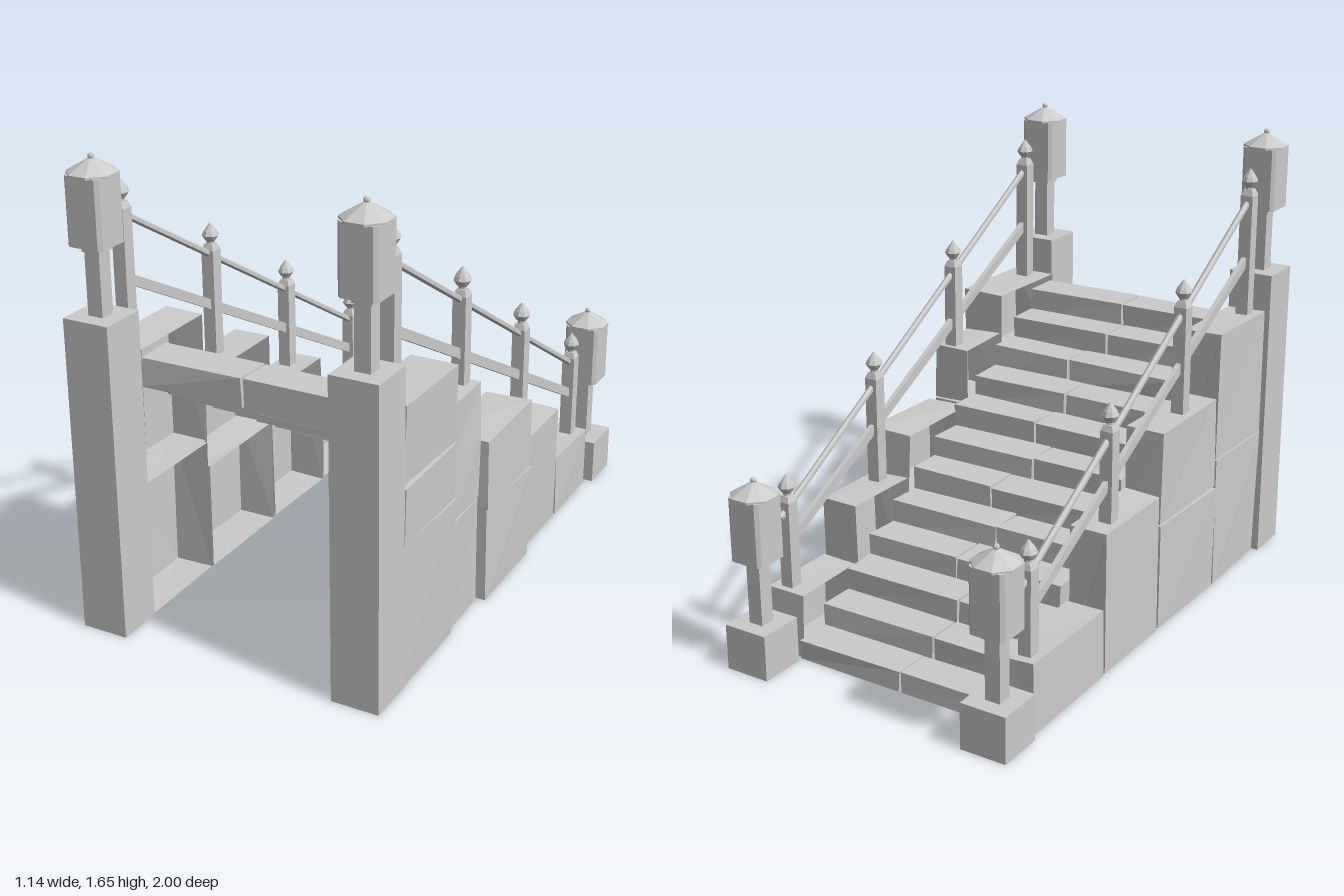
import * as THREE from 'three';

const stone = new THREE.MeshStandardMaterial({ color: 0xcccccc, flatShading: true, side: THREE.DoubleSide });

// Small seeded generator for the uneven stone corners
let seed = 7;
const rand = () => {
  seed = (seed * 16807) % 2147483647;
  return seed / 2147483647 - 0.5;
};

function add(parent, name, geometry, x = 0, y = 0, z = 0) {
  const mesh = new THREE.Mesh(geometry, stone);
  mesh.name = name;
  mesh.position.set(x, y, z);
  parent.add(mesh);
  return mesh;
}

// Box between limits; open = face index to leave out (+x, -x, +y, -y, +z, -z), wobble moves the corners
function block(parent, name, [x0, x1], [y0, y1], [z0, z1], { open = -1, wobble = 0 } = {}) {
  const g = new THREE.BoxGeometry(x1 - x0, y1 - y0, z1 - z0);
  g.translate((x0 + x1) / 2, (y0 + y1) / 2, (z0 + z1) / 2);
  if (open >= 0) g.setIndex(Array.from(g.index.array).filter((_, i) => Math.floor(i / 6) !== open));
  if (wobble) {
    const shift = Array.from({ length: 8 }, () => [rand() * wobble, rand() * wobble, rand() * wobble]);
    const p = g.attributes.position;
    for (let i = 0; i < p.count; i++) {
      const x = p.getX(i), y = p.getY(i), z = p.getZ(i);
      const s = shift[(x > (x0 + x1) / 2 ? 1 : 0) + (y > (y0 + y1) / 2 ? 2 : 0) + (z > (z0 + z1) / 2 ? 4 : 0)];
      p.setXYZ(i, x + s[0], Math.max(0, y + s[1]), z + s[2]);
    }
  }
  g.computeVertexNormals();
  return add(parent, name, g);
}

// Cone-like part with flats facing the axes
function prism(rTop, rBottom, height, sides) {
  return new THREE.CylinderGeometry(rTop, rBottom, height, sides).rotateY(Math.PI / sides);
}

// Pillar with its lantern on a short post
function lanternPillar(x, z, top) {
  const group = new THREE.Group();
  group.name = 'lanternPillar';
  block(group, 'pillar', [x - 0.085, x + 0.085], [0, top], [z - 0.085, z + 0.085], { open: 3 });
  block(group, 'lanternPost', [x - 0.028, x + 0.028], [top, top + 0.22], [z - 0.028, z + 0.028]);
  block(group, 'lanternPostCap', [x - 0.034, x + 0.034], [top + 0.215, top + 0.24], [z - 0.034, z + 0.034]);

  // Square lantern body with cut corners
  const a = 0.066, c = 0.054;
  const outline = [[a, -c], [a, c], [c, a], [-c, a], [-a, c], [-a, -c], [-c, -a], [c, -a]];
  const body = new THREE.ExtrudeGeometry(
    new THREE.Shape(outline.map(([u, v]) => new THREE.Vector2(u, v))), { depth: 0.23, bevelEnabled: false });
  add(group, 'lanternBody', body.rotateX(-Math.PI / 2), x, top + 0.237, z);
  add(group, 'lanternEaves', prism(0.083, 0.083, 0.008, 8), x, top + 0.469, z);
  add(group, 'lanternRoof', prism(0.01, 0.083, 0.042, 8), x, top + 0.494, z);
  add(group, 'lanternKnob', new THREE.SphereGeometry(0.011, 8, 6), x, top + 0.521, z);
  return group;
}

// Rail between two points of the same x
function rail(parent, name, geometryOf, x, [z0, y0], [z1, y1]) {
  const mesh = add(parent, name, geometryOf(Math.hypot(z1 - z0, y1 - y0)), x, (y0 + y1) / 2, (z0 + z1) / 2);
  mesh.rotation.x = -Math.atan2(y1 - y0, z1 - z0);
}

// Railing with four posts standing on the wall tops
function railing(x, feet) {
  const group = new THREE.Group();
  group.name = 'railing';
  const finial = [[0.014, 0], [0.014, 0.012], [0.02, 0.018], [0.031, 0.035], [0.024, 0.05], [0, 0.082]]
    .map(([r, y]) => new THREE.Vector2(r, y));
  feet.forEach((foot, i) => {
    const z = 0.765 - i * 0.505;
    const top = 1.435 - i * 0.294;
    block(group, 'railPost', [x - 0.024, x + 0.024], [foot - 0.01, top], [z - 0.024, z + 0.024]);
    add(group, 'railPostShoulder', prism(0.016 * Math.SQRT2, 0.024 * Math.SQRT2, 0.022, 4), x, top + 0.011, z);
    add(group, 'finial', new THREE.LatheGeometry(finial, 8), x, top + 0.018, z);
  });
  rail(group, 'handRail', (l) => new THREE.CylinderGeometry(0.012, 0.012, l, 6).rotateX(Math.PI / 2),
    x, [-0.79, 0.503], [0.8, 1.437]);
  rail(group, 'lowerRail', (l) => new THREE.BoxGeometry(0.018, 0.034, l), x, [-0.75, 0.4], [0.765, 1.197]);
  return group;
}

// Side wall from columns: [z range, outer x, course heights]; blocks are hollow towards the stair
function wall(name, innerX, columns) {
  const group = new THREE.Group();
  group.name = name;
  for (const [zs, outerX, heights] of columns) {
    heights.forEach((top, i) => {
      const bottom = i ? heights[i - 1] + 0.005 : 0;
      const xs = [Math.min(innerX, outerX), Math.max(innerX, outerX)];
      block(group, 'wallBlock', xs, [bottom, top], zs, { open: innerX > 0 ? 1 : 0, wobble: 0.01 });
    });
  }
  return group;
}

export function createModel() {
  const model = new THREE.Group();
  model.name = 'stoneStaircase';

  // Twelve steps, each of two stones with a wandering joint
  const steps = new THREE.Group();
  steps.name = 'steps';
  const joints = [-0.035, -0.075, -0.085, 0.015, -0.06, 0.05, -0.04, 0.035, -0.01, 0.06, -0.03, -0.02];
  joints.forEach((joint, i) => {
    const top = 0.077 + i * 0.08;
    const ys = [Math.max(0, top - 0.106), top];
    const zs = [-0.82 + i * 0.137, -0.82 + (i + 1) * 0.137];
    block(steps, 'stepStone', [-0.405, joint - 0.004], ys, zs, { wobble: 0.007 });
    block(steps, 'stepStone', [joint + 0.004, 0.39], ys, zs, { wobble: 0.007 });
  });
  model.add(steps);

  // Side walls
  model.add(wall('leftWall', 0.386, [
    [[0.46, 0.825], 0.558, [0.51, 0.71, 0.983]],
    [[0.22, 0.445], 0.535, [0.395, 0.615, 0.835]],
    [[-0.17, 0.21], 0.562, [0.355, 0.612]],
    [[-0.485, -0.187], 0.538, [0.45]],
    [[-0.803, -0.5], 0.533, [0.24]],
  ]));
  model.add(wall('rightWall', -0.405, [
    [[0.467, 0.825], -0.55, [0.5, 0.985]],
    [[0.035, 0.455], -0.55, [0.4, 0.75]],
    [[-0.345, 0.022], -0.55, [0.52]],
    [[-0.81, -0.36], -0.552, [0.25]],
  ]));

  // Railings and lantern pillars on both sides
  model.add(railing(0.475, [0.983, 0.835, 0.45, 0.24]));
  model.add(railing(-0.495, [0.985, 0.75, 0.52, 0.25]));
  for (const x of [0.475, -0.485]) {
    model.add(lanternPillar(x, 0.915, 1.122));
    model.add(lanternPillar(x, -0.915, 0.167));
  }
  return model;
}
